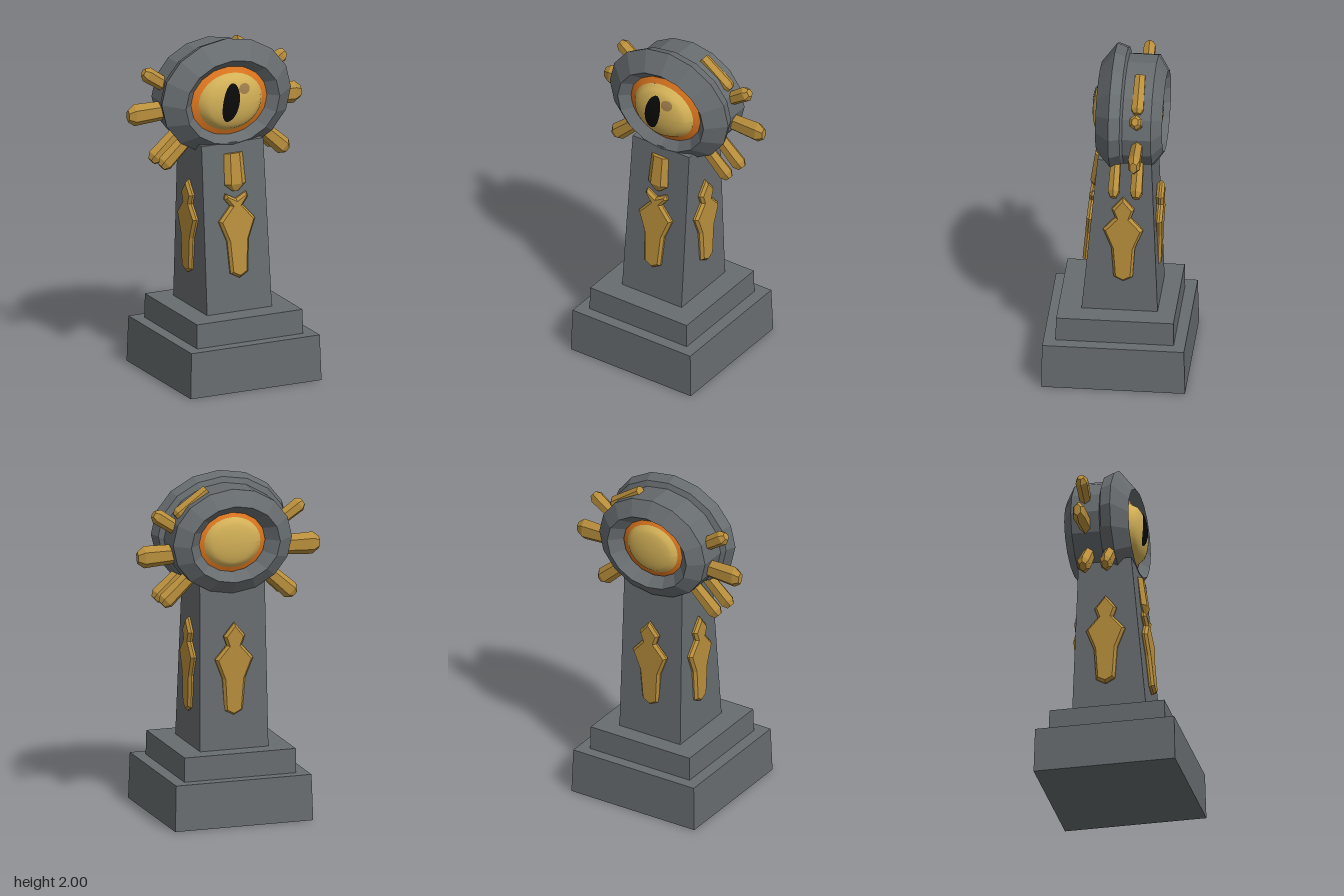
import * as THREE from 'three';

const mat = (name, color) => {
  const m = new THREE.MeshStandardMaterial({ color });
  m.name = name;
  return m;
};

export function createModel() {
  const root = new THREE.Group();
  root.name = 'eyeMonument';
  const stone = mat('stone grey', 0x676c6f);
  const gold = mat('gold', 0xb98f3c);
  const iris = mat('eye yellow', 0xd2b057);
  const orange = mat('eyelid orange', 0xdc761f);
  const black = mat('pupil black', 0x0a0a0a);
  const glint = mat('glint brown', 0x9c7b48);

  const add = (name, geo, material, parent = root) => {
    const mesh = new THREE.Mesh(geo, material);
    mesh.name = name;
    parent.add(mesh);
    return mesh;
  };
  // Faceted normals
  const flat = (geo) => {
    const g = geo.index ? geo.toNonIndexed() : geo;
    g.computeVertexNormals();
    return g;
  };

  // Box whose bottom and top rectangles are given as [x0, x1, z0, z1]
  const taperedBox = (y0, y1, bottom, top) => {
    const geo = new THREE.BoxGeometry(1, 1, 1);
    const p = geo.attributes.position;
    for (let i = 0; i < p.count; i++) {
      const up = p.getY(i) > 0;
      const r = up ? top : bottom;
      p.setXYZ(i, r[p.getX(i) > 0 ? 1 : 0], up ? y1 : y0, r[p.getZ(i) > 0 ? 3 : 2]);
    }
    return flat(geo);
  };

  // Elliptical rings [rx, ry, z, centreY], listed from front to back
  const loft = (rings, sides) => {
    const pos = [], idx = [];
    rings.forEach(([rx, ry, z, cy], i) => {
      for (let k = 0; k < sides; k++) {
        const t = (k / sides) * Math.PI * 2;
        pos.push(rx * Math.cos(t), cy + ry * Math.sin(t), z);
        if (i === rings.length - 1) continue;
        const a = i * sides + k, b = i * sides + ((k + 1) % sides);
        idx.push(a, a + sides, b, b, a + sides, b + sides);
      }
    });
    const geo = new THREE.BufferGeometry();
    geo.setAttribute('position', new THREE.Float32BufferAttribute(pos, 3));
    geo.setIndex(idx);
    return geo;
  };

  // Stepped plinth and leaning column
  add('plinth', taperedBox(0, 0.27, [-0.418, 0.418, -0.415, 0.415], [-0.41, 0.41, -0.408, 0.408]), stone);
  add('plinthStep', taperedBox(0.26, 0.413, [-0.34, 0.338, -0.342, 0.34], [-0.338, 0.335, -0.34, 0.335]), stone);
  add('column', taperedBox(0.4, 1.4, [-0.208, 0.206, -0.237, 0.203], [-0.198, 0.196, -0.2, 0.11]), stone);

  // Head: front rim, band and back rim with recessed sockets
  add('head', flat(loft([
    [0.24, 0.2, 0.06, 1.64],
    [0.3, 0.25, 0.115, 1.64],
    [0.413, 0.345, 0.03, 1.655],
    [0.39, 0.322, -0.033, 1.655],
    [0.36, 0.308, -0.045, 1.637],
    [0.36, 0.308, -0.21, 1.637],
    [0.27, 0.225, -0.268, 1.63],
    [0.2, 0.175, -0.2, 1.63],
  ], 16)), stone);

  // Domed eyes
  const dome = (x, y, e) => e.z + e.bulge * Math.sqrt(Math.max(0, 1 - (x / e.rx) ** 2 - (y / e.ry) ** 2));
  // Unit disc reshaped by a rule, then laid over the dome
  const patch = (e, rule, lift = 0) => {
    const geo = new THREE.RingGeometry(0.001, 1, 32, 8);
    const p = geo.attributes.position;
    for (let i = 0; i < p.count; i++) {
      const [x, y] = rule(p.getX(i), p.getY(i));
      p.setXYZ(i, x, y, dome(x, y, e) + lift);
    }
    geo.computeVertexNormals();
    return geo;
  };
  const makeEye = (name, e) => {
    const eye = new THREE.Group();
    eye.name = name;
    eye.position.y = e.y;
    root.add(eye);
    add('eyeball', patch(e, (u, v) => [u * e.rx, v * e.ry]), iris, eye);
    add('eyelid', loft([[e.rx, e.ry, e.z, 0], [e.rx + 0.045, e.ry + 0.04, e.z - 0.02, 0]], 32), orange, eye)
      .geometry.computeVertexNormals();
    return eye;
  };
  const frontShape = { y: 1.638, rx: 0.203, ry: 0.17, z: 0.08, bulge: 0.075 };
  const frontEye = makeEye('frontEye', frontShape);
  add('glint', patch(frontShape, (u, v) => [0.06 + u * 0.036, 0.085 + v * 0.03], 0.003), glint, frontEye);
  add('pupil', patch(frontShape, (u, v) =>
    [-0.03 + u * 0.05 + v * 0.022, 0.012 + v * 0.112 - u * 0.01], 0.005), black, frontEye);
  makeEye('backEye', { y: 1.63, rx: 0.17, ry: 0.148, z: 0.205, bulge: 0.045 }).rotation.y = Math.PI;

  // Six-sided gold spike from one point to another
  const up = new THREE.Vector3(0, 1, 0);
  const spike = (name, from, to, r, depth = 1, tip = 0.55) => {
    const a = new THREE.Vector3(...from);
    const dir = new THREE.Vector3(...to).sub(a);
    const len = dir.length();
    const profile = [[0, 0], [r * 0.85, 0], [r, len - r * 0.6], [r * tip, len], [0, len]]
      .map(([x, y]) => new THREE.Vector2(x, y));
    const geo = new THREE.LatheGeometry(profile, 6, Math.PI / 6).scale(1, 1, depth);
    const mesh = add(name, flat(geo), gold);
    mesh.position.copy(a);
    mesh.quaternion.setFromUnitVectors(up, dir.normalize());
  };
  for (const [side, s] of [['left', 1], ['right', -1]]) {
    spike(side + 'UpperSpike', [s * 0.27, 1.69, -0.13], [s * 0.452, 1.815, -0.13], 0.045, 0.85);
    spike(side + 'MiddleSpike', [s * 0.3, 1.57, -0.13], [s * 0.55, 1.565, -0.13], 0.066, 0.6);
    spike(side + 'LowerSpike', [s * 0.22, 1.44, -0.13], [s * 0.4, 1.275, -0.13], 0.052, 0.75);
    spike(side + 'LowerFrontSpike', [s * 0.22, 1.44, 0], [s * 0.4, 1.275, 0], 0.052, 0.7);
  }
  spike('topSpike', [0.13, 1.93, -0.13], [0.32, 1.79, -0.13], 0.04);
  spike('chinSpike', [0, 1.34, 0.118], [0, 1.12, 0.146], 0.068, 0.45, 0.3);

  // Bevelled gold ornaments on the four column faces (half outlines are mirrored)
  const ornament = (name, half, pos, rx, ry) => {
    const pts = [...half, ...half.filter(([x]) => x > 0).reverse().map(([x, y]) => [-x, y])];
    const shape = new THREE.Shape(pts.map(([x, y]) => new THREE.Vector2(x, y - 0.9)));
    const geo = new THREE.ExtrudeGeometry(shape, {
      depth: 0.012, bevelEnabled: true, bevelSegments: 1,
      bevelThickness: 0.016, bevelSize: 0.014, bevelOffset: -0.014,
    });
    const mesh = add(name, flat(geo), gold);
    mesh.position.set(...pos);
    mesh.rotation.set(rx, ry, 0);
  };
  const blade = [[0, 0.61], [0.055, 0.64], [0.068, 0.83], [0.115, 0.95]];
  const sideOutline = [...blade, [0.045, 1.03], [0.065, 1.085], [0, 1.165]];
  const frontOutline = [...blade, [0.04, 1.035], [0.075, 1.08], [0.065, 1.11], [0, 1.075]];
  ornament('frontOrnament', frontOutline, [0, 0.9, 0.16], -0.093, 0);
  ornament('backOrnament', sideOutline, [0, 0.9, -0.222], -0.037, Math.PI);
  ornament('leftOrnament', sideOutline, [0.2, 0.9, -0.038], 0, Math.PI / 2);
  ornament('rightOrnament', sideOutline, [-0.202, 0.9, -0.038], 0, -Math.PI / 2);

  return root;
}
